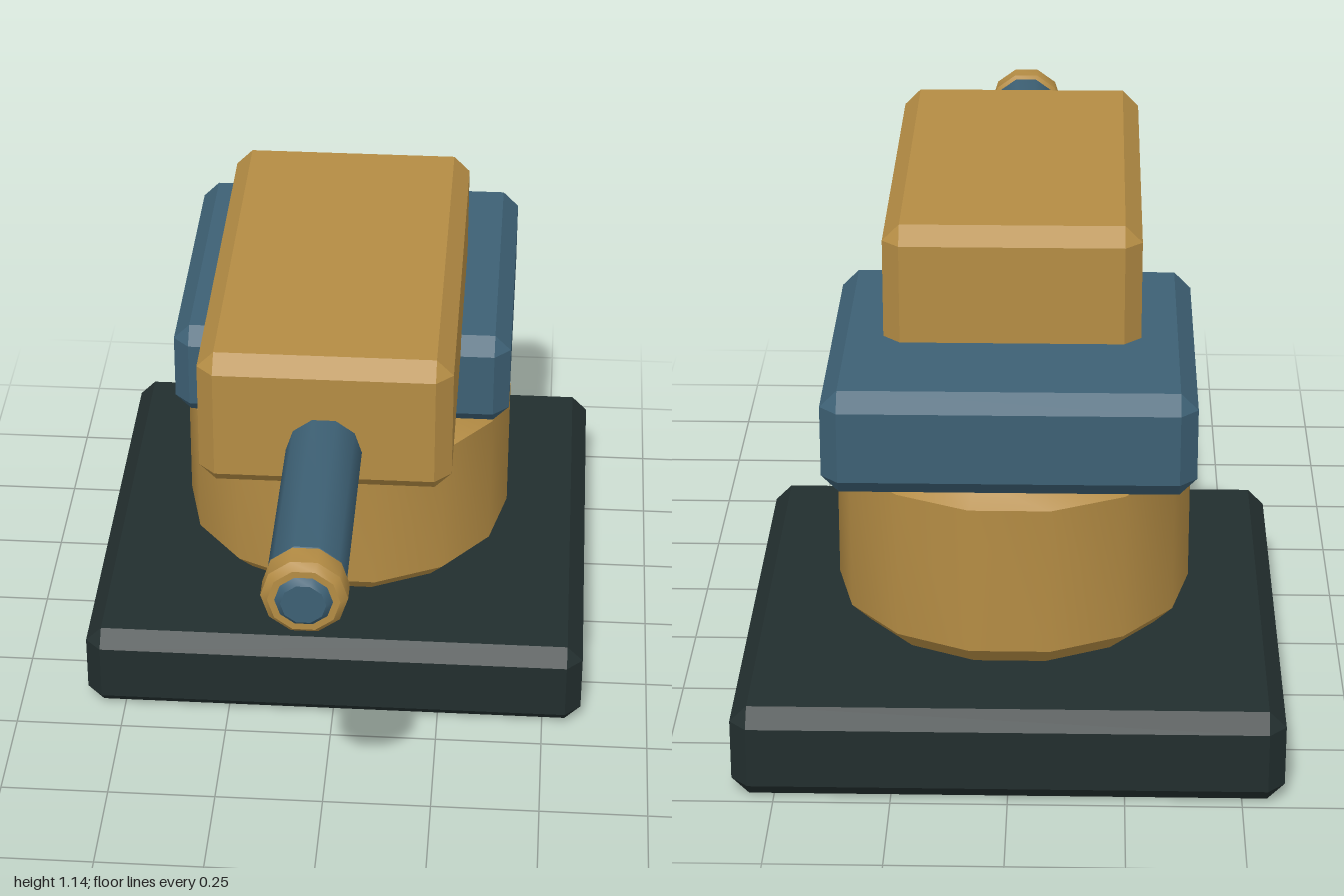
import * as THREE from 'three';
import { toCreasedNormals } from 'three/addons/utils/BufferGeometryUtils.js';
import { ConvexGeometry } from 'three/addons/geometries/ConvexGeometry.js';

const mat = (name, color) => {
  const m = new THREE.MeshStandardMaterial({ color });
  m.name = name;
  return m;
};

// Box with every edge and corner cut off by c
function chamferBox(w, h, d, c) {
  const half = [w / 2, h / 2, d / 2];
  const points = [];
  for (const sx of [-1, 1]) for (const sy of [-1, 1]) for (const sz of [-1, 1]) {
    for (let axis = 0; axis < 3; axis++) {
      const p = half.map((v, i) => (i === axis ? v : v - c));
      points.push(new THREE.Vector3(sx * p[0], sy * p[1], sz * p[2]));
    }
  }
  return new ConvexGeometry(points);
}

// Upright cylinder from y = 0 to y = h with cut rims, corners on the x axis
function chamferCylinder(r, h, c, sides) {
  const profile = [[0, 0], [r - c, 0], [r, c], [r, h - c], [r - c, h], [0, h]]
    .map(([x, y]) => new THREE.Vector2(x, y));
  const g = new THREE.LatheGeometry(profile, sides).rotateY(Math.PI / 2);
  return toCreasedNormals(g, 0.7);
}

export function createModel() {
  const group = new THREE.Group();
  const gold = mat('gold', 0xb48c44);
  const blue = mat('steel blue', 0x3d6074);
  const dark = mat('dark slate', 0x222e2e);

  const add = (name, geometry, material, x, y, z) => {
    const mesh = new THREE.Mesh(geometry, material);
    mesh.name = name;
    mesh.position.set(x, y, z);
    group.add(mesh);
  };

  // Stand
  add('base', chamferBox(1.182, 0.21, 1.182, 0.037), dark, 0, 0.105, -0.408);
  add('drum', chamferCylinder(0.394, 0.427, 0.046, 14), gold, 0, 0.21, -0.405);

  // Turning head
  add('turntable', chamferBox(0.788, 0.23, 0.768, 0.037), blue, 0, 0.77, -0.489);
  add('housing', chamferBox(0.556, 0.326, 1.0, 0.037), gold, 0, 0.978, -0.071);

  // Barrel pieces, all along z: name, radius, back z, front z, rim cut, material
  const barrelParts = [
    ['barrel', 0.083, 0.36, 0.92, 0.012, blue],
    ['muzzleRing', 0.09, 0.907, 0.987, 0.015, gold],
    ['muzzleTip', 0.061, 0.93, 1.0, 0.014, blue],
  ];
  for (const [name, r, z0, z1, c, material] of barrelParts) {
    const g = chamferCylinder(r, z1 - z0, c, 10).rotateX(Math.PI / 2);
    add(name, g, material, 0, 0.922, z0);
  }

  return group;
}
